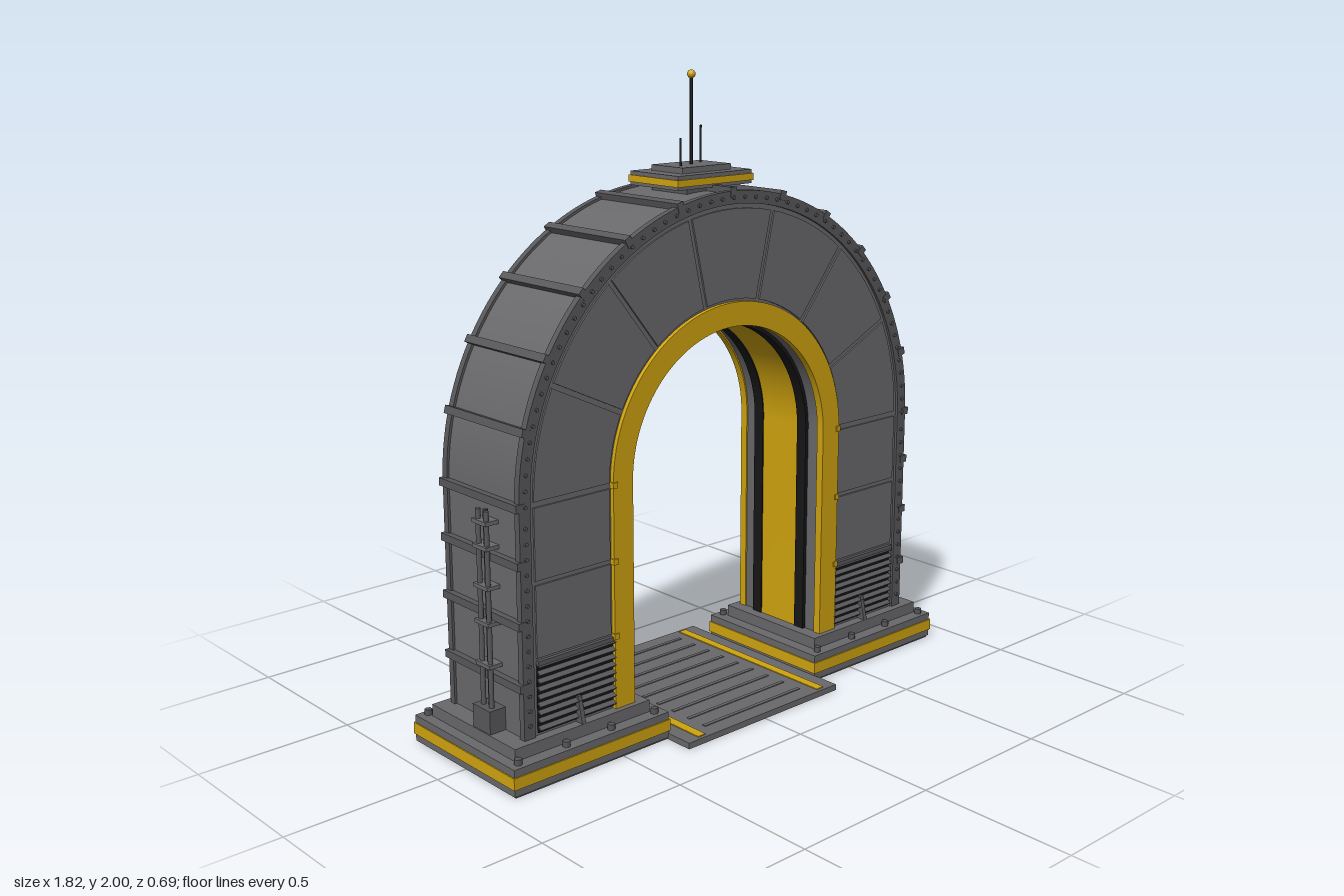
import * as THREE from 'three';
import { toCreasedNormals, mergeGeometries } from 'three/addons/utils/BufferGeometryUtils.js';

const CY = 0.83; // height of the arch centre

export function createModel() {
  const root = new THREE.Group();
  root.name = 'archGate';
  const mat = (name, color) => {
    const m = new THREE.MeshStandardMaterial({ color });
    m.name = name;
    return m;
  };
  const grey = mat('hullGrey', 0x69696c);
  const dark = mat('frameGrey', 0x58585b);
  const black = mat('black', 0x161617);
  const yellow = mat('safetyYellow', 0xd0a40f);

  const add = (name, geo, material, parent = root) => {
    const m = new THREE.Mesh(geo, material);
    m.name = name;
    parent.add(m);
    return m;
  };
  // Box given by its extents
  const span = (x0, x1, y0, y1, z0, z1) =>
    new THREE.BoxGeometry(x1 - x0, y1 - y0, z1 - z0)
      .translate((x0 + x1) / 2, (y0 + y1) / 2, (z0 + z1) / 2);
  const rod = (r, x, y0, y1, z, n = 10) =>
    new THREE.CylinderGeometry(r, r, y1 - y0, n).translate(x, (y0 + y1) / 2, z);

  // Horseshoe band between two radii, from z0 to z1
  const horseshoe = (ri, ro, z0, z1, yb = 0.125) => {
    const s = new THREE.Shape();
    s.moveTo(ro, yb);
    s.lineTo(ro, CY);
    s.absarc(0, CY, ro, 0, Math.PI, false);
    s.lineTo(-ro, yb);
    s.lineTo(-ri, yb);
    s.lineTo(-ri, CY);
    s.absarc(0, CY, ri, Math.PI, 0, true);
    s.lineTo(ri, yb);
    const g = new THREE.ExtrudeGeometry(s, { depth: z1 - z0, bevelEnabled: false, curveSegments: 40 });
    return toCreasedNormals(g.translate(0, 0, z0), 0.5);
  };

  // Main arch and its lining
  add('archBody', horseshoe(0.412, 0.812, -0.178, 0.178), grey);
  add('innerLining', horseshoe(0.404, 0.42, -0.08, 0.08), yellow);
  for (const s of [-1, 1]) {
    const z = (a, b) => (s > 0 ? [a, b] : [-b, -a]);
    add('innerBlackBand', horseshoe(0.4, 0.42, ...z(0.08, 0.12)), black);
    add('outerRim', horseshoe(0.78, 0.82, ...z(0.165, 0.187)), dark);
    add('yellowTrim', horseshoe(0.407, 0.482, ...z(0.165, 0.192)), yellow);
  }

  // Ribs across the outside of the arch
  const ribs = [];
  for (let i = 0; i <= 12; i++) {
    const a = (i * Math.PI) / 12;
    ribs.push(new THREE.BoxGeometry(0.03, 0.024, 0.378)
      .translate(0.817, 0, 0).rotateZ(a).translate(0, CY, 0));
  }
  for (const y of [0.29, 0.48, 0.66])
    for (const s of [-1, 1]) ribs.push(new THREE.BoxGeometry(0.03, 0.024, 0.378).translate(s * 0.817, y, 0));
  add('outerRibs', mergeGeometries(ribs), dark);

  // Rivets along the rim and clips along the trim
  const rivets = [];
  const rivet = (x, y, r) => rivets.push(
    new THREE.CylinderGeometry(r, r, 0.386, 6).rotateX(Math.PI / 2).translate(x, y, 0));
  for (let i = 0; i <= 54; i++) {
    const a = (i * Math.PI) / 54;
    rivet(0.8 * Math.cos(a), CY + 0.8 * Math.sin(a), 0.006);
  }
  for (let y = 0.17; y < 0.8; y += 0.046) for (const s of [-1, 1]) rivet(s * 0.8, y, 0.006);
  add('rimRivets', mergeGeometries(rivets), dark);

  // Cladding panels and vents, the same on front and back
  for (const side of [0, Math.PI]) {
    const face = new THREE.Group();
    face.name = side ? 'backFace' : 'frontFace';
    face.rotation.y = side;
    root.add(face);
    const step = Math.PI / 7;
    for (let k = 0; k < 7; k++) {
      const a0 = k * step, a1 = a0 + step;
      const s = new THREE.Shape();
      s.absarc(0, CY, 0.766, a0 + 0.01, a1 - 0.01, false);
      s.absarc(0, CY, 0.49, a1 - 0.016, a0 + 0.016, true);
      const g = new THREE.ExtrudeGeometry(s, { depth: 0.014, bevelEnabled: false, curveSegments: 10 });
      add('archPanel', g.translate(0, 0, 0.17), grey, face);
    }
    for (const s of [-1, 1]) {
      const box = (y0, y1, z0, z1, x0 = 0.49, x1 = 0.766) =>
        span(Math.min(s * x0, s * x1), Math.max(s * x0, s * x1), y0, y1, z0, z1);
      add('legPanel', box(0.602, 0.82, 0.17, 0.184), grey, face);
      add('legPanel', box(0.368, 0.588, 0.17, 0.184), grey, face);
      add('ventBack', box(0.135, 0.358, 0.174, 0.181, 0.478, 0.766), black, face);
      const slats = [];
      for (let i = 0; i < 9; i++) {
        slats.push(new THREE.BoxGeometry(0.286, 0.005, 0.016).rotateX(0.6)
          .translate(s * 0.622, 0.15 + i * 0.0245, 0.186));
      }
      slats.push(box(0.346, 0.36, 0.175, 0.19, 0.478, 0.766));
      add('ventSlats', mergeGeometries(slats), dark, face);
      const clips = [0.36, 0.595, CY].map((y) => box(y - 0.009, y + 0.009, 0.18, 0.196, 0.468, 0.486));
      add('trimClips', mergeGeometries(clips), yellow, face);

      // Triangular gusset at the foot
      const tri = new THREE.Shape([[0.17, 0.125], [0.21, 0.125], [0.19, 0.21], [0.17, 0.21]]
        .map(([u, v]) => new THREE.Vector2(-u, v)));
      const g = new THREE.ExtrudeGeometry(tri, { depth: 0.014, bevelEnabled: false });
      add('gusset', g.rotateY(Math.PI / 2).translate(s * 0.618 - 0.007, 0, 0), dark, face);
    }
  }

  // Feet and service pipes on each side
  for (const s of [-1, 1]) {
    const foot = new THREE.Group();
    foot.name = s > 0 ? 'leftFoot' : 'rightFoot';
    root.add(foot);
    const box = (x0, x1, ...r) => span(Math.min(s * x0, s * x1), Math.max(s * x0, s * x1), ...r);
    add('footLower', box(0.323, 0.907, 0.006, 0.09, -0.252, 0.252), grey, foot);
    add('footStripe', box(0.319, 0.911, 0.029, 0.066, -0.256, 0.256), yellow, foot);
    add('footUpper', box(0.365, 0.872, 0.09, 0.128, -0.21, 0.21), grey, foot);
    const bolts = [];
    for (const x of [0.36, 0.53, 0.7, 0.875])
      for (const z of [-0.228, 0.228]) bolts.push(rod(0.012, s * x, 0.088, 0.108, z, 6));
    add('footBolts', mergeGeometries(bolts), dark, foot);

    add('junctionBox', box(0.81, 0.868, 0.128, 0.2, 0, 0.085), dark, foot);
    const pipes = [0.022, 0.042, 0.062].map((z, i) =>
      rod(0.008, s * (i === 1 ? 0.832 : 0.844), 0.19, 0.8, z));
    add('servicePipes', mergeGeometries(pipes), dark, foot);
    const clamps = [0.33, 0.46, 0.57, 0.69, 0.765].map((y) =>
      box(0.808, 0.858, y - 0.006, y + 0.006, 0.008, 0.076));
    add('pipeClamps', mergeGeometries(clamps), grey, foot);
  }

  // Walkway through the gate
  add('walkway', span(-0.325, 0.325, 0, 0.02, -0.347, 0.347), grey);
  add('walkwayBase', span(-0.9, 0.9, 0, 0.007, -0.248, 0.248), dark);
  for (const s of [-1, 1])
    add('walkwayStripe', new THREE.BoxGeometry(0.03, 0.006, 0.67).translate(s * 0.262, 0.02, 0), yellow);
  const treads = [];
  for (let i = -4; i <= 4; i++)
    treads.push(new THREE.BoxGeometry(0.42, 0.006, 0.012).translate(0, 0.02, i * 0.072));
  add('walkwayTreads', mergeGeometries(treads), grey);

  // Crown with beacon and aerials
  add('crownPlinth', span(-0.09, 0.09, 1.63, 1.657, -0.08, 0.08), dark);
  add('crownBlock', span(-0.152, 0.152, 1.655, 1.698, -0.109, 0.109), grey);
  add('crownStripe', span(-0.156, 0.156, 1.665, 1.686, -0.113, 0.113), yellow);
  add('crownTop', span(-0.1, 0.1, 1.698, 1.716, -0.07, 0.07), grey);
  add('mast', rod(0.005, 0, 1.71, 1.98, 0), black);
  add('shortAerial', rod(0.0035, -0.062, 1.71, 1.8, 0.02), black);
  add('longAerial', rod(0.0035, 0.057, 1.71, 1.83, -0.02), black);
  add('beacon', new THREE.SphereGeometry(0.013, 16, 12).translate(0, 1.987, 0), yellow);

  return root;
}
